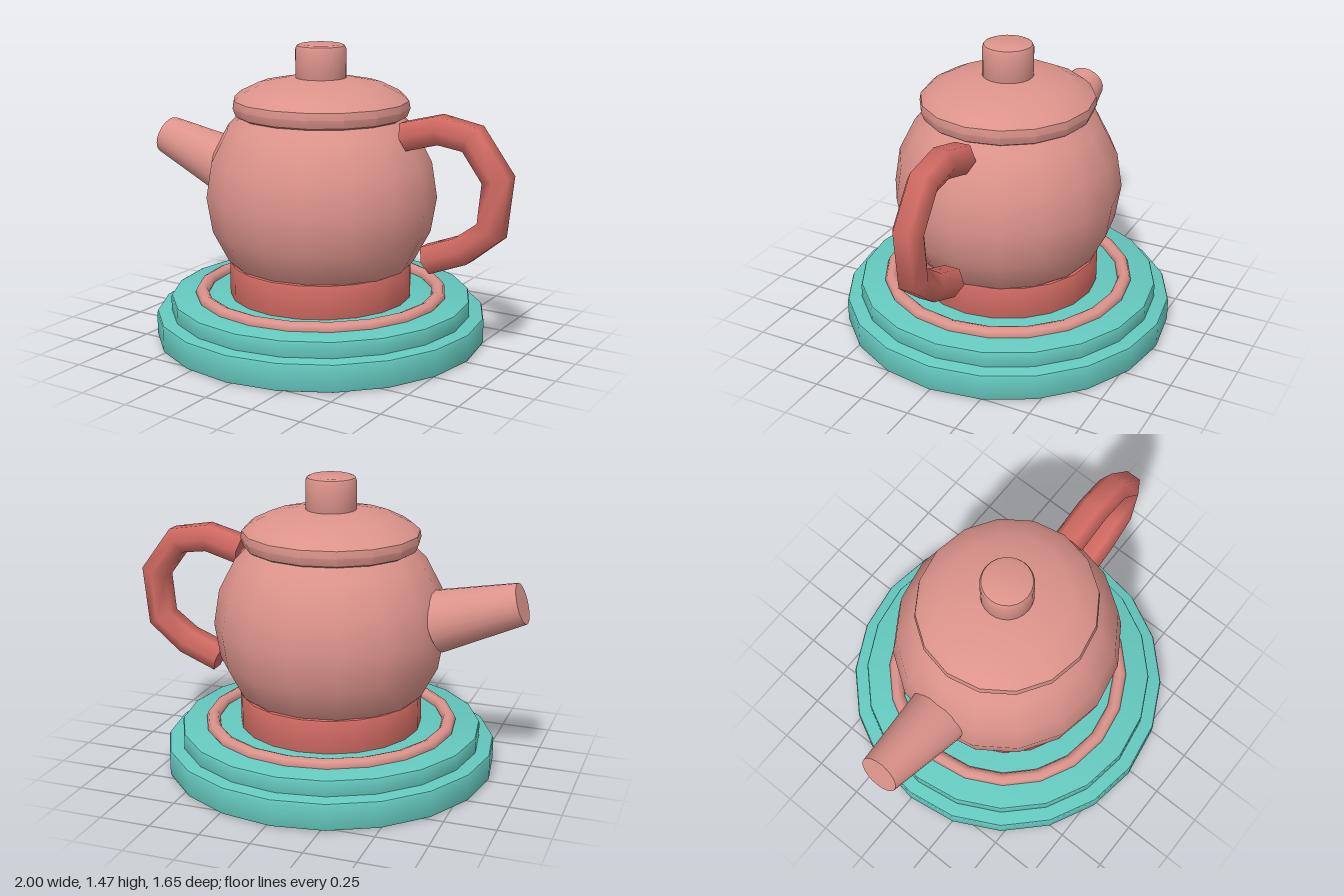
import * as THREE from 'three';
import { toCreasedNormals } from 'three/addons/utils/BufferGeometryUtils.js';

export function createModel() {
  const model = new THREE.Group();
  model.name = 'teapotOnStand';
  const mat = (name, color) => {
    const m = new THREE.MeshStandardMaterial({ color });
    m.name = name;
    return m;
  };
  const pink = mat('dusty pink', 0xdc938b);
  const coral = mat('coral', 0xd06a62);
  const teal = mat('teal', 0x64c8be);
  const axisX = -0.02; // the pot's own axis

  const add = (name, geometry, material, parent = model) => {
    const mesh = new THREE.Mesh(geometry, material);
    mesh.name = name;
    parent.add(mesh);
    return mesh;
  };

  // Turned part from [radius, height] pairs, bottom to top
  const turned = (name, profile, sides, material) => {
    const points = profile.map(([r, y]) => new THREE.Vector2(r, y));
    const geo = toCreasedNormals(new THREE.LatheGeometry(points, sides), 0.6);
    const mesh = add(name, geo, material);
    mesh.position.x = axisX;
    return mesh;
  };

  // Disc with softened rims
  const disc = (name, r, y0, y1, b, sides, material) => turned(name, [
    [0, y0], [r - b, y0], [r - b * 0.3, y0 + b * 0.3], [r, y0 + b],
    [r, y1 - b], [r - b * 0.3, y1 - b * 0.3], [r - b, y1], [0, y1],
  ], sides, material);

  // Stand
  disc('standBase', 0.825, 0, 0.14, 0.016, 20, teal);
  disc('standTier', 0.752, 0.125, 0.22, 0.014, 20, teal);
  const ring = add('standRing', new THREE.TorusGeometry(0.597, 0.034, 8, 20), pink);
  ring.rotation.x = Math.PI / 2;
  ring.position.set(axisX, 0.226, 0);
  disc('foot', 0.455, 0.2, 0.388, 0.014, 20, coral);

  // Body
  const body = add('body', new THREE.SphereGeometry(0.58, 16, 10), pink);
  body.position.set(axisX, 0.73, 0);
  body.scale.set(1, 0.97, 0.965);

  // Lid and knob
  const lid = turned('lid', [
    [0, 1.11], [0.4, 1.11], [0.427, 1.125], [0.442, 1.165], [0.436, 1.2],
    [0.4, 1.232], [0.31, 1.275], [0.16, 1.304], [0, 1.312],
  ], 16, pink);
  lid.scale.z = 0.965;
  disc('knob', 0.124, 1.28, 1.468, 0.024, 24, pink);

  // Spout
  const tip = new THREE.Vector3(-0.97, 0.925, 0);
  const root = new THREE.Vector3(-0.56, 0.795, 0);
  const axis = tip.clone().sub(root);
  const spout = add('spout', new THREE.CylinderGeometry(0.1, 0.153, axis.length(), 20), pink);
  spout.position.copy(tip).add(root).multiplyScalar(0.5);
  spout.quaternion.setFromUnitVectors(new THREE.Vector3(0, 1, 0), axis.normalize());

  // Handle: a six-sided tube with closed ends
  const handle = new THREE.Group();
  handle.name = 'handle';
  model.add(handle);
  const path = new THREE.CatmullRomCurve3([
    [0.455, 1.063], [0.635, 1.112], [0.8, 1.085], [0.932, 0.908],
    [0.907, 0.665], [0.765, 0.552], [0.583, 0.48],
  ].map(([x, y]) => new THREE.Vector3(x, y, 0)));
  path.getPointAt = path.getPoint; // place one ring on each point
  path.getTangentAt = path.getTangent;
  add('handleTube', new THREE.TubeGeometry(path, 6, 0.078, 6), coral, handle);
  for (const [t, dir] of [[0, -1], [1, 1]]) {
    const cap = add('handleEnd', new THREE.CircleGeometry(0.078, 6), coral, handle);
    cap.position.copy(path.getPoint(t));
    cap.lookAt(cap.position.clone().addScaledVector(path.getTangent(t), dir));
  }
  return model;
}
